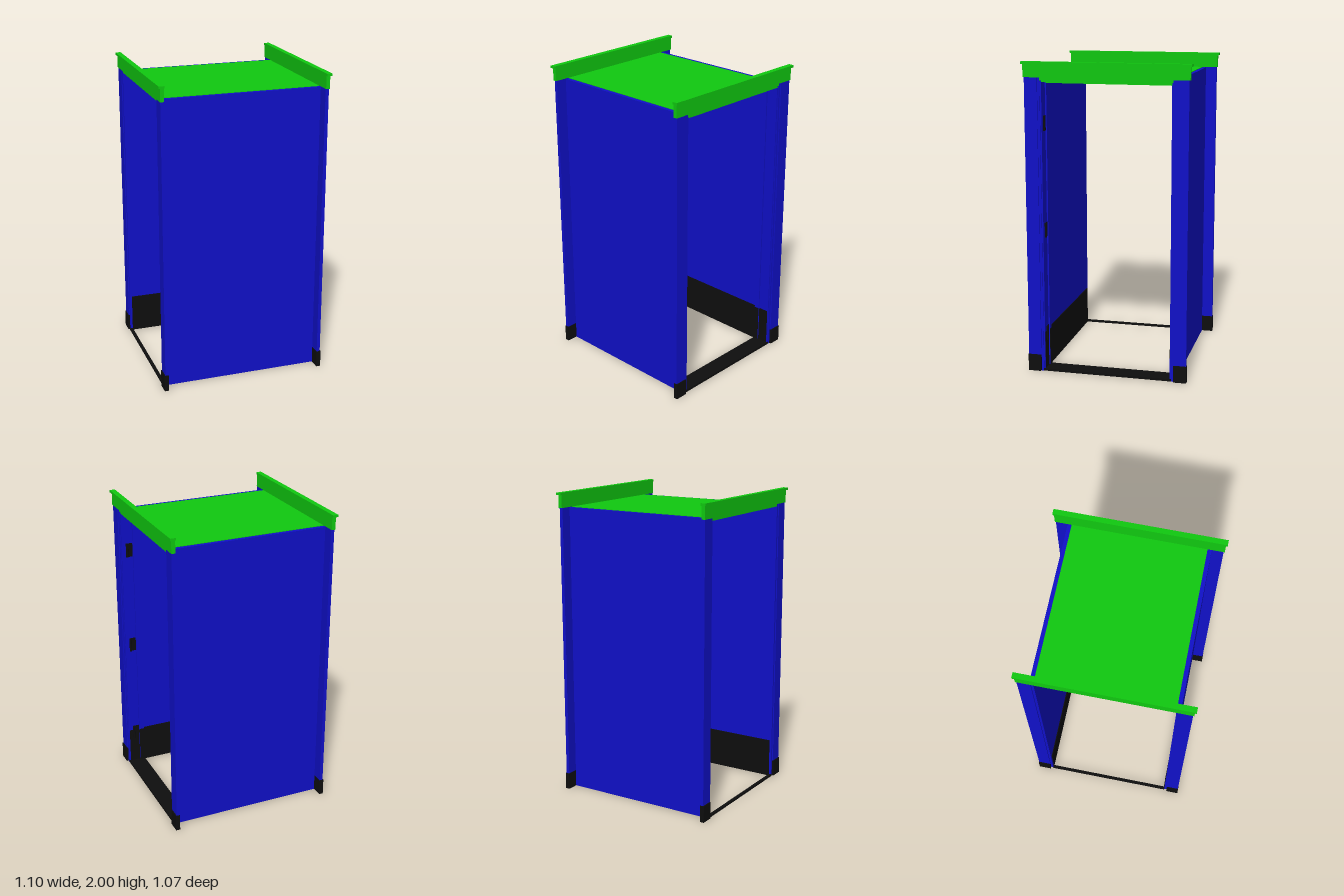
import * as THREE from 'three';

export function createModel() {
  const model = new THREE.Group();
  model.name = 'doorwayPassage';

  const material = (name, color) => {
    const m = new THREE.MeshStandardMaterial({ color });
    m.name = name;
    return m;
  };
  const blue = material('blue', 0x1010c8);
  const green = material('green', 0x10c810);
  const black = material('black', 0x0e0e0e);

  // Box given by its limits on each axis
  const box = (name, mat, xs, ys, zs) => {
    const size = (r) => Math.abs(r[1] - r[0]);
    const mid = (r) => (r[0] + r[1]) / 2;
    const mesh = new THREE.Mesh(new THREE.BoxGeometry(size(xs), size(ys), size(zs)), mat);
    mesh.position.set(mid(xs), mid(ys), mid(zs));
    mesh.name = name;
    model.add(mesh);
  };
  const mirror = (range, side) => range.map((v) => v * side);

  // Ceiling between the two side walls
  box('ceiling', green, [-0.515, 0.515], [1.885, 1.903], [-0.42, 0.42]);

  for (const s of [-1, 1]) {
    // Walls with a black skirting inside
    box('wall', blue, [-0.515, 0.515], [0, 1.9], mirror([0.42, 0.445], s));
    box('skirting', black, [-0.515, 0.515], [0.002, 0.26], mirror([0.415, 0.4205], s));

    // Head casing and its cap over each opening
    box('headCasing', green, mirror([0.515, 0.54], s), [1.903, 1.985], [-0.525, 0.525]);
    box('headCap', green, mirror([0.515, 0.55], s), [1.985, 2], [-0.535, 0.535]);
    box('headTrim', green, mirror([0.515, 0.53], s), [1.885, 1.903], [-0.42, 0.42]);

    // Stepped post casings on plinth blocks
    for (const t of [-1, 1]) {
      box('postCasing', blue, mirror([0.515, 0.537], s), [0.11, 1.903], mirror([0.435, 0.518], t));
      box('postInnerEdge', blue, mirror([0.515, 0.53], s), [0, 1.903], mirror([0.42, 0.435], t));
      box('plinthBlock', black, mirror([0.515, 0.543], s), [0, 0.11], mirror([0.437, 0.52], t));
    }

    // Door jambs, stops and their black foot plates at the +x opening
    box('jamb', blue, [0.415, 0.525], [0.015, 1.885], mirror([0.411, 0.42], s));
    box('doorStop', blue, [0.415, 0.45], [0.015, 1.875], mirror([0.402, 0.411], s));
    box('jambFootPlate', black, [0.45, 0.52], [0.015, 0.26], mirror([0.4095, 0.4112], s));
    box('stopFootPlate', black, [0.4135, 0.4495], [0.015, 0.26], mirror([0.4005, 0.4025], s));
  }

  // Head jamb and stop
  box('headJamb', green, [0.415, 0.525], [1.873, 1.886], [-0.42, 0.42]);
  box('headStop', green, [0.415, 0.45], [1.862, 1.873], [-0.411, 0.411]);

  // Thresholds, wide at the door and narrow opposite
  box('threshold', black, [0.415, 0.53], [0, 0.015], [-0.42, 0.42]);
  box('narrowThreshold', black, [-0.535, -0.515], [0, 0.012], [-0.42, 0.42]);

  // Hinges: a leaf and a knuckle each
  for (const y of [0.245, 0.93, 1.615]) {
    box('hingeLeaf', black, [0.452, 0.495], [y - 0.047, y + 0.047], [0.408, 0.412]);
    const knuckle = new THREE.Mesh(new THREE.CylinderGeometry(0.008, 0.008, 0.094, 12), black);
    knuckle.position.set(0.49, y, 0.406);
    knuckle.name = 'hingeKnuckle';
    model.add(knuckle);
  }
  return model;
}
